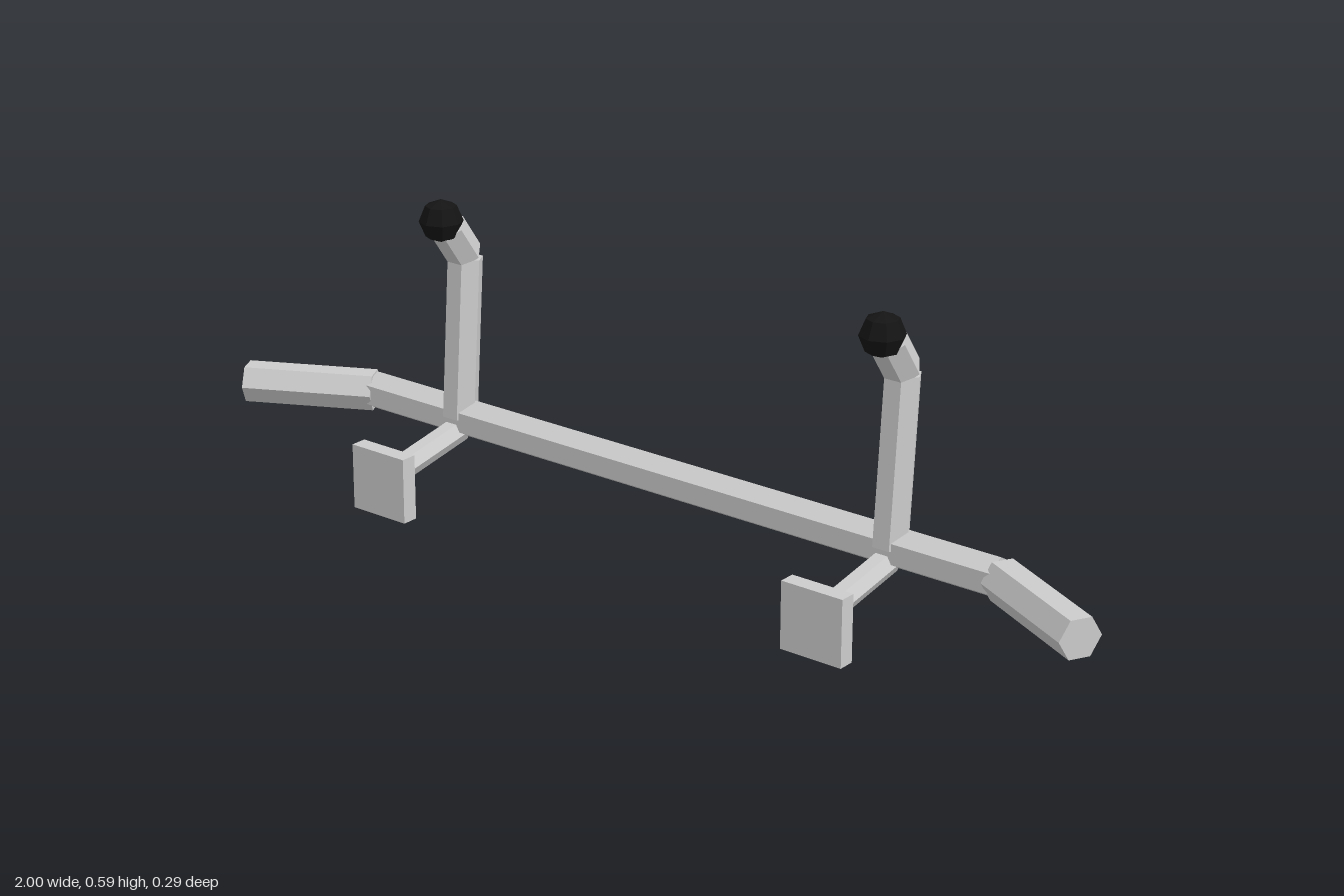
import * as THREE from 'three';

const grey = new THREE.MeshStandardMaterial({ color: 0xcccccc, flatShading: true });
const black = new THREE.MeshStandardMaterial({ color: 0x141414, flatShading: true });

// Hexagonal bar between two points; flatTop turns its corners to the sides
function hexBar(name, from, to, radius, flatTop) {
  const a = new THREE.Vector3(...from);
  const b = new THREE.Vector3(...to);
  const geometry = new THREE.CylinderGeometry(radius, radius, a.distanceTo(b), 6);
  if (flatTop) geometry.rotateY(Math.PI / 6);
  geometry.rotateX(Math.PI / 2);
  const mesh = new THREE.Mesh(geometry, grey);
  mesh.name = name;
  mesh.position.copy(a).add(b).multiplyScalar(0.5);
  mesh.lookAt(b);
  return mesh;
}

export function createModel() {
  const model = new THREE.Group();
  model.name = 'bumperBar';

  // Long horizontal bar
  model.add(hexBar('mainBar', [-0.74, 0.132, -0.098], [0.74, 0.132, -0.098], 0.04, false));

  for (const side of [-1, 1]) {
    const label = side > 0 ? 'left' : 'right';
    const x = side * 0.5125;

    // Angled bar end
    model.add(hexBar(label + 'BarEnd',
      [side * 0.745, 0.132, -0.095], [side * 0.981, 0.132, 0.0275], 0.042, true));

    // Upright with its bent top
    model.add(hexBar(label + 'Post', [x, 0.135, -0.091], [x, 0.457, -0.114], 0.036, true));
    model.add(hexBar(label + 'PostTop', [x, 0.463, -0.1125], [x, 0.531, -0.064], 0.036, true));

    // Round tip
    const ball = new THREE.Mesh(new THREE.SphereGeometry(0.043, 8, 4), black);
    ball.name = label + 'Tip';
    ball.position.set(x, 0.547, -0.047);
    model.add(ball);

    // Mounting arm and plate
    model.add(hexBar(label + 'MountArm', [x, 0.109, -0.092], [x, 0.071, 0.12], 0.0255, true));
    const plate = new THREE.Mesh(new THREE.BoxGeometry(0.131, 0.131, 0.033), grey);
    plate.name = label + 'MountPlate';
    plate.position.set(x, 0.0655, 0.1315);
    model.add(plate);
  }
  return model;
}
